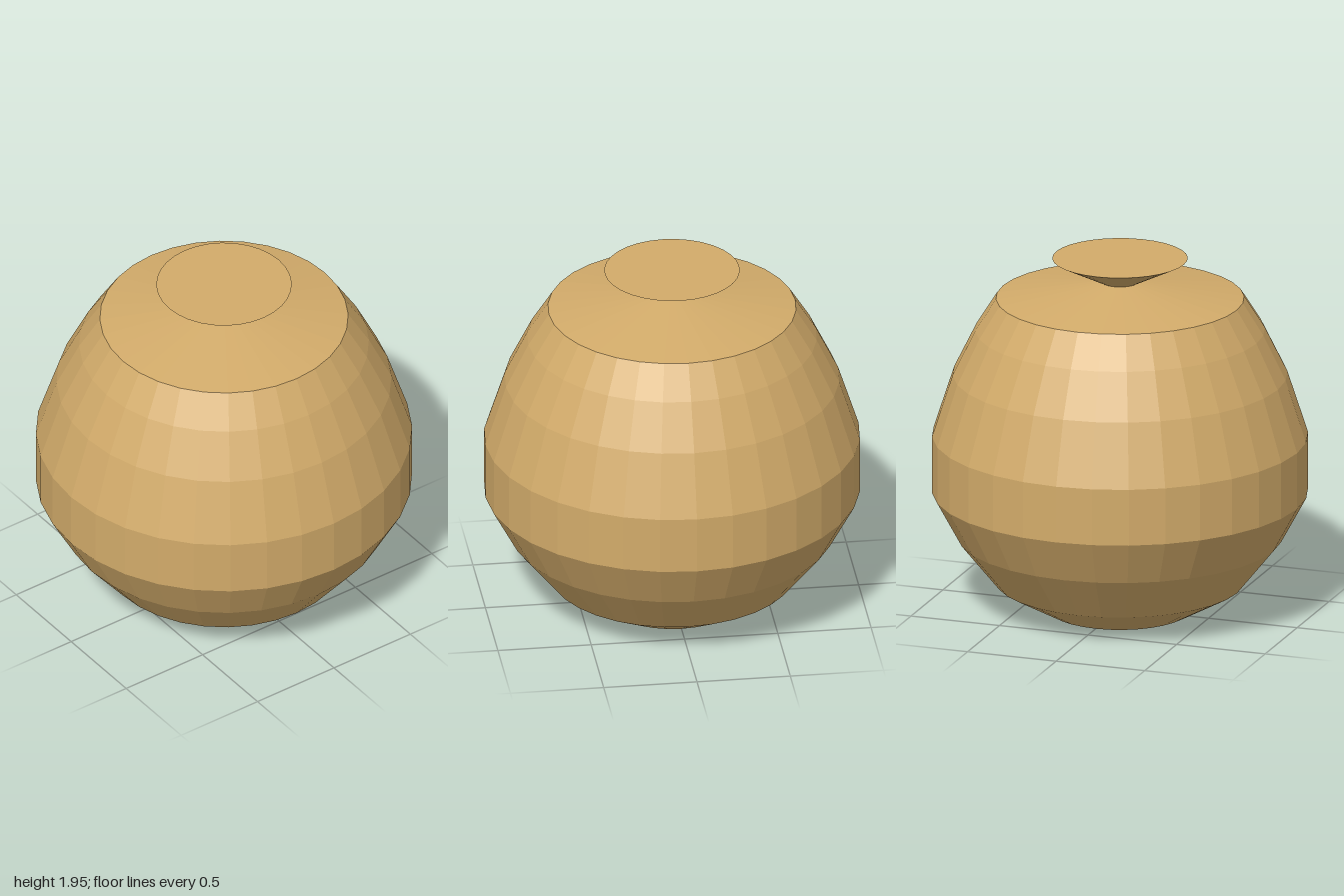
import * as THREE from 'three';

// Revolve a bottom-to-top profile of [radius, height] pairs
function turned(name, profile, material) {
  const points = profile.map(([r, y]) => new THREE.Vector2(r, y));
  const mesh = new THREE.Mesh(new THREE.LatheGeometry(points, 32), material);
  mesh.name = name;
  return mesh;
}

export function createModel() {
  const group = new THREE.Group();
  group.name = 'liddedPot';
  const clay = new THREE.MeshStandardMaterial({ color: 0xd2ab6a, flatShading: true });

  // Faceted body with a flat foot
  group.add(turned('body', [
    [0, 0], [0.38, 0], [0.66, 0.155], [0.865, 0.41], [1, 0.66],
    [1, 0.97], [0.89, 1.31], [0.77, 1.555], [0.66, 1.73],
  ], clay));

  // Shallow lid narrowing to a neck, then flaring to a flat knob
  group.add(turned('lid', [
    [0.66, 1.73], [0.1, 1.82],
  ], clay));
  group.add(turned('knob', [
    [0.1, 1.82], [0.36, 1.95], [0, 1.95],
  ], clay));

  return group;
}
